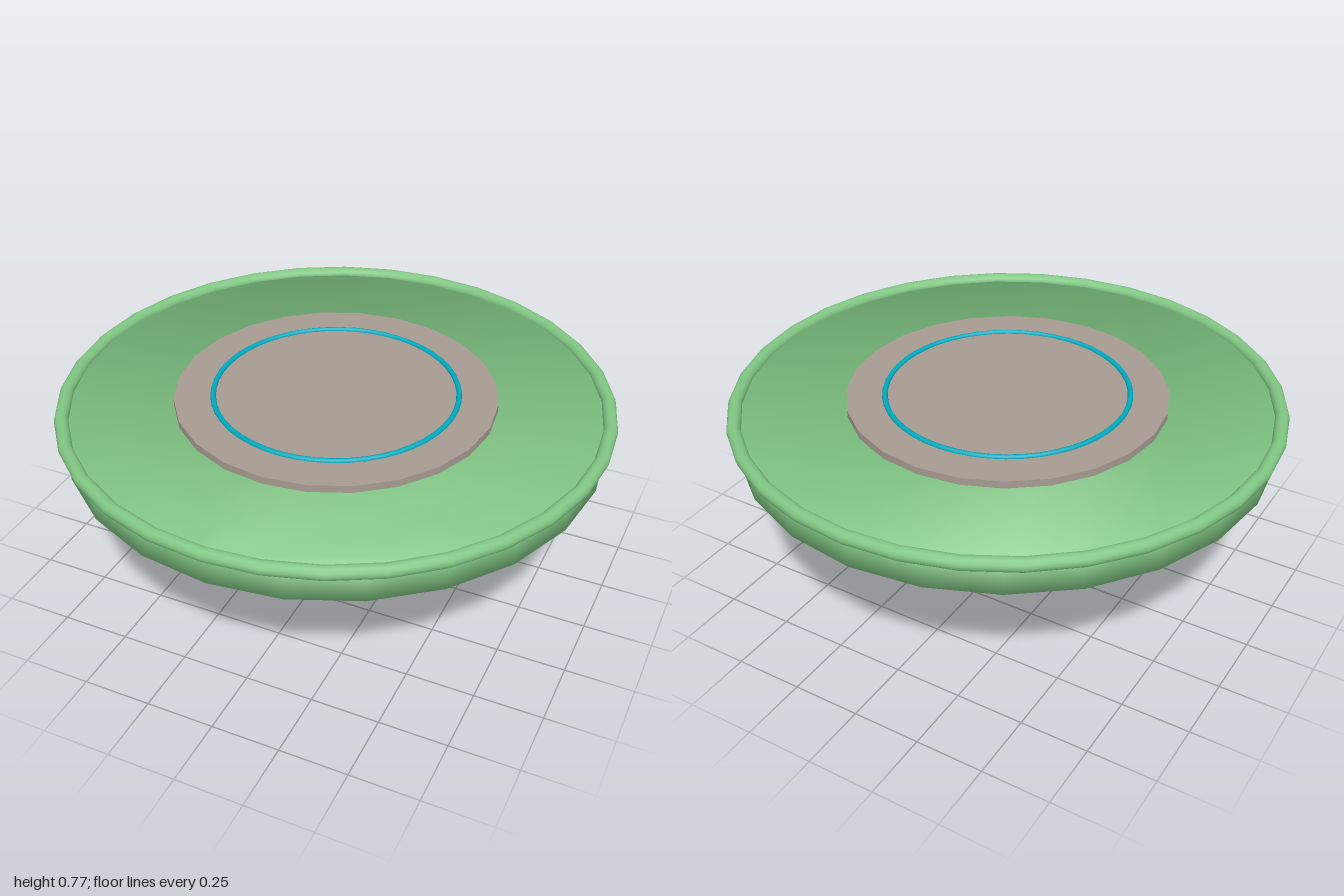
import * as THREE from 'three';

// Closed frustum whose side and end faces share soft edge normals.
// normalTop / normalBottom are [outward, up] pairs.
function softFrustum(rTop, rBottom, yTop, yBottom, sides, normalTop, normalBottom) {
  const pos = [], nor = [], idx = [];
  const rings = [[rBottom, yBottom, normalBottom], [rTop, yTop, normalTop]];
  for (const [r, y, n] of rings) {
    for (let i = 0; i < sides; i++) {
      const a = (i / sides) * Math.PI * 2;
      const s = Math.sin(a), c = Math.cos(a);
      pos.push(r * s, y, r * c);
      nor.push(n[0] * s, n[1], n[0] * c);
    }
  }
  for (let i = 0; i < sides; i++) {
    const j = (i + 1) % sides;
    idx.push(i, j, sides + j, i, sides + j, sides + i);
    if (i > 0 && i < sides - 1) {
      idx.push(0, i + 1, i);                          // bottom
      idx.push(sides, sides + i, sides + i + 1);      // top
    }
  }
  const g = new THREE.BufferGeometry();
  g.setAttribute('position', new THREE.Float32BufferAttribute(pos, 3));
  g.setAttribute('normal', new THREE.Float32BufferAttribute(nor, 3));
  g.setIndex(idx);
  return g;
}

export function createModel() {
  const group = new THREE.Group();
  const material = (name, color) => {
    const m = new THREE.MeshStandardMaterial({ color });
    m.name = name;
    return m;
  };
  const green = material('soft green', 0x81c784);
  const stone = material('warm grey', 0xa69b92);
  const cyan = material('cyan', 0x00acc1);

  const add = (name, geometry, mat, y = 0) => {
    const mesh = new THREE.Mesh(geometry, mat);
    mesh.name = name;
    mesh.position.y = y;
    group.add(mesh);
  };
  const ring = (radius, tube, tubeSides, sides) =>
    new THREE.TorusGeometry(radius, tube, tubeSides, sides).rotateX(Math.PI / 2);

  // Tapered underside, floating just below the platform
  add('rockBase', softFrustum(0.895, 0.07, 0.58, 0, 16, [0.95, 0.3], [0.3, -0.95]), stone);

  // Grass platform with its rounded rim
  add('platform', softFrustum(0.97, 0.97, 0.73, 0.61, 24, [0.707, 0.707], [0.707, -0.707]), green);
  add('platformRim', ring(0.975, 0.025, 12, 32), green, 0.73);

  // Raised central pad with a thin marker ring
  add('centrePad', new THREE.CylinderGeometry(0.58, 0.58, 0.04, 24), stone, 0.737);
  add('markerRing', ring(0.44, 0.01, 8, 48), cyan, 0.758);

  return group;
}
